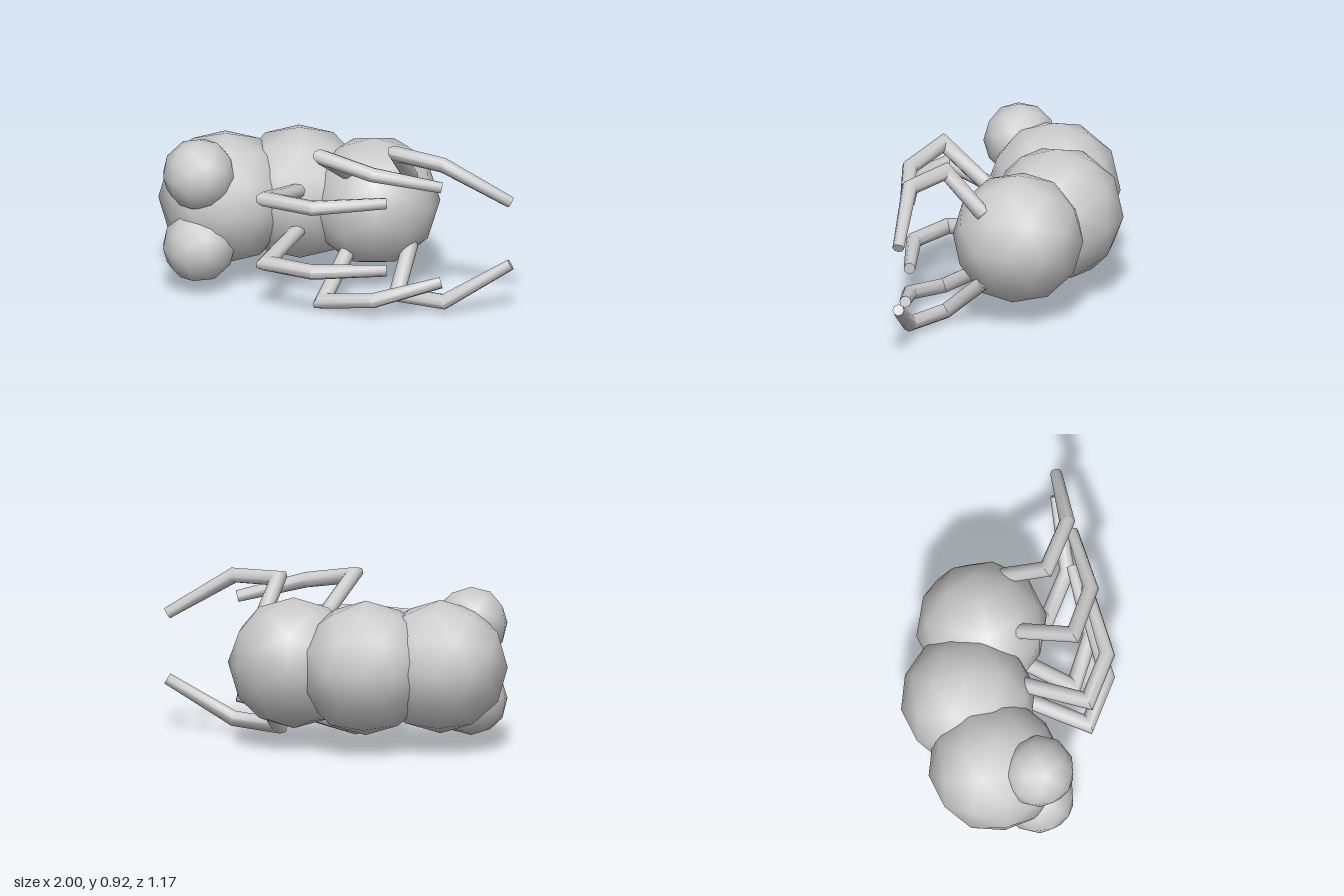
import * as THREE from 'three';
import { toCreasedNormals } from 'three/addons/utils/BufferGeometryUtils.js';

const MID_Y = 0.465; // the insect lies on its side, mirrored about this height
const material = new THREE.MeshStandardMaterial({ color: 0xcccccc });

// Low-poly ball whose pole vertex points along +x, then turned about y
function ball(name, radius, x, y, z, turn) {
  const geometry = new THREE.IcosahedronGeometry(radius, 1);
  geometry.rotateY(Math.atan(2 / (1 + Math.sqrt(5))) + turn);
  const mesh = new THREE.Mesh(geometry, material);
  mesh.name = name;
  mesh.position.set(x, y, z);
  return mesh;
}

// Tapered rod through the points, with mitred joints and flat end caps
function bentRod(points, radii, sides = 8) {
  const dirs = points.slice(1).map((p, i) => p.clone().sub(points[i]).normalize());
  const u = new THREE.Vector3(0, 1, 0).cross(dirs[0]).normalize();
  const v = dirs[0].clone().cross(u);
  const offsets = [];
  for (let j = 0; j < sides; j++) {
    const a = ((j + 0.5) / sides) * Math.PI * 2;
    offsets.push(u.clone().multiplyScalar(Math.cos(a)).addScaledVector(v, Math.sin(a)));
  }
  const positions = [];
  const index = [];
  const last = points.length - 1;
  points.forEach((p, i) => {
    const before = dirs[Math.max(i - 1, 0)];
    const after = dirs[Math.min(i, last - 1)];
    const normal = before.clone().add(after).normalize();
    for (const o of offsets) {
      // slide the cross-section along the incoming segment to the mitre plane
      o.addScaledVector(before, -o.dot(normal) / before.dot(normal));
      positions.push(...p.clone().addScaledVector(o, radii[i]).toArray());
      // bring it back square to the outgoing segment
      o.addScaledVector(after, -o.dot(after));
    }
    if (i === last) return;
    for (let j = 0; j < sides; j++) {
      const a = i * sides + j;
      const b = i * sides + ((j + 1) % sides);
      index.push(a, b, a + sides, b, b + sides, a + sides);
    }
  });
  // End caps
  const end = last * sides;
  for (let j = 1; j < sides - 1; j++) {
    index.push(0, j + 1, j, end, end + j, end + j + 1);
  }
  const geometry = new THREE.BufferGeometry();
  geometry.setAttribute('position', new THREE.Float32BufferAttribute(positions, 3));
  geometry.setIndex(index);
  return toCreasedNormals(geometry, 0.85);
}

export function createModel() {
  const model = new THREE.Group();
  model.name = 'insect';

  // Body segments
  model.add(
    ball('head', 0.367, -0.65, MID_Y, 0.13, Math.PI / 2),
    ball('thorax', 0.37, -0.35, MID_Y, -0.15, Math.PI / 2),
    ball('abdomen', 0.36, 0.07, MID_Y, -0.24, 0)
  );

  // Leg paths: hip, knee, ankle, tip
  const legPaths = {
    frontLeg: [[-0.2, 0.57, 0.08], [-0.18, 0.65, 0.485], [0.11, 0.65, 0.48], [0.43, 0.66, 0.23]],
    middleLeg: [[0.04, 0.68, -0.03], [0.07, 0.88, 0.3], [0.37, 0.83, 0.28], [0.67, 0.74, 0.05]],
    hindLeg: [[0.32, 0.66, -0.21], [0.37, 0.87, 0.02], [0.67, 0.86, 0.02], [0.98, 0.645, -0.17]],
  };
  const radii = [0.043, 0.043, 0.042, 0.032];

  // Eyes and legs on both sides
  for (const side of [1, -1]) {
    const label = side > 0 ? 'Upper' : 'Lower';
    model.add(ball('eye' + label, 0.2, -0.665, MID_Y + side * 0.208, 0.39, 0.25));
    for (const [name, path] of Object.entries(legPaths)) {
      const points = path.map(([x, y, z]) => new THREE.Vector3(x, MID_Y + side * (y - MID_Y), z));
      const leg = new THREE.Mesh(bentRod(points, radii), material);
      leg.name = name + label;
      model.add(leg);
    }
  }
  return model;
}
